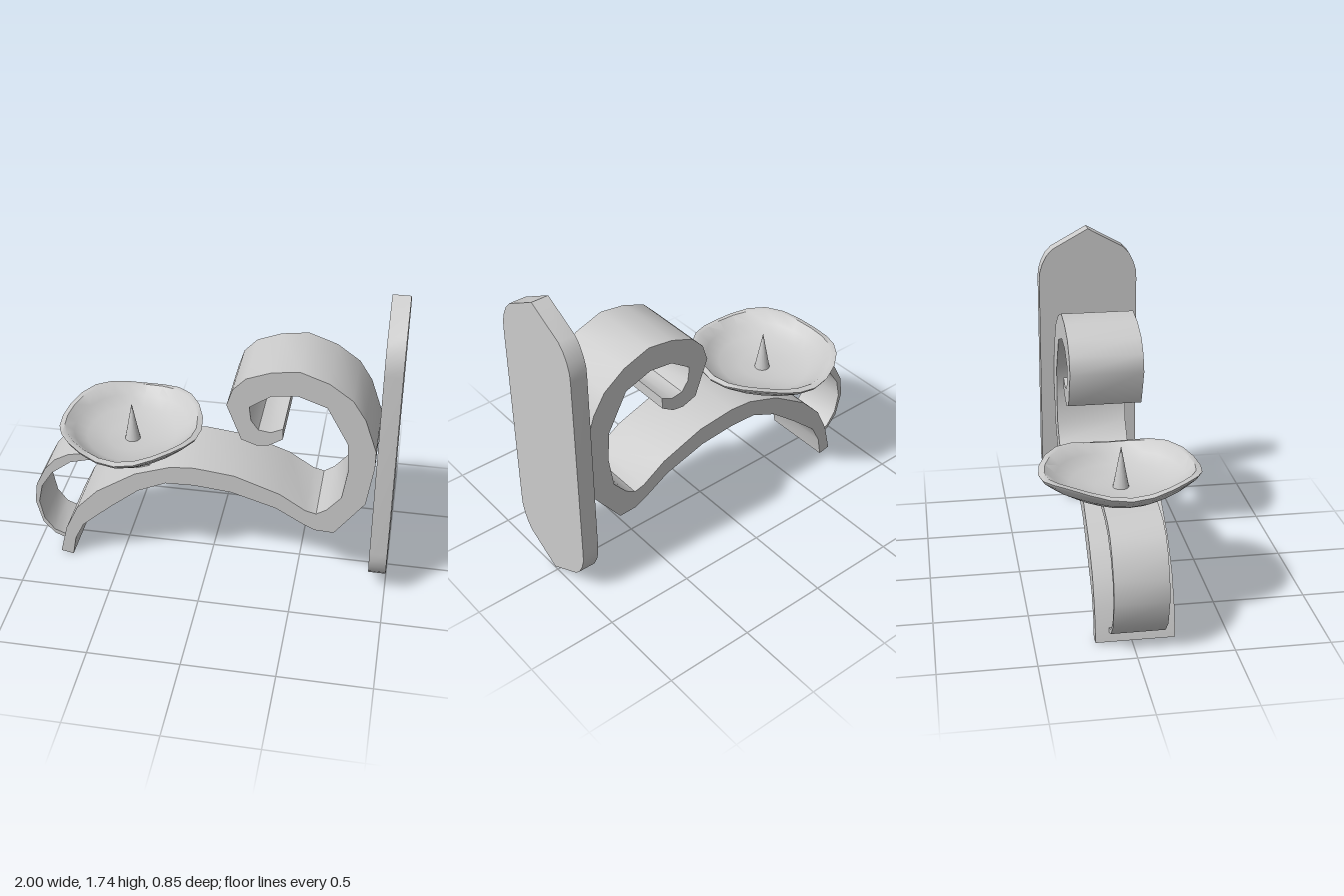
import * as THREE from 'three';
import { toCreasedNormals } from 'three/addons/utils/BufferGeometryUtils.js';

const material = new THREE.MeshStandardMaterial({ color: 0xcccccc });

function part(name, geometry, crease = 0.75) {
  const mesh = new THREE.Mesh(toCreasedNormals(geometry, crease), material);
  mesh.name = name;
  return mesh;
}

// Extrude an outline given as [x, y] pairs from depth z0 to z1
function slab(points, z0, z1) {
  const shape = new THREE.Shape(points.map(([x, y]) => new THREE.Vector2(x, y)));
  const geometry = new THREE.ExtrudeGeometry(shape, { depth: z1 - z0, bevelEnabled: false });
  return geometry.translate(0, 0, z0);
}

export function createModel() {
  const group = new THREE.Group();
  group.name = 'wallCandleHolder';

  // Wall plate: pointed ends with rounded shoulders, mirrored both ways
  const midY = 0.875, midZ = 0.022;
  const quarter = [[0, 0.865], [0.21, 0.75], [0.245, 0.713], [0.272, 0.66], [0.287, 0.61], [0.29, 0.56]];
  const half = [...quarter, ...quarter.slice().reverse().map(([z, y]) => [z, -y])];
  const outline = [...half, ...half.slice(1, -1).reverse().map(([z, y]) => [-z, y])];
  const plate = slab(outline.map(([z, y]) => [z + midZ, y + midY]), 0, 0.095);
  plate.rotateY(-Math.PI / 2).translate(1, 0, 0);
  group.add(part('wallPlate', plate));

  // Main arm: broad band that arches out and curls into a scroll
  const armUpper = [
    [-0.85, 0.02], [-0.81, 0.19], [-0.74, 0.34], [-0.62, 0.47], [-0.4, 0.615], [-0.2, 0.685],
    [-0.07, 0.695], [0.15, 0.67], [0.4, 0.58], [0.54, 0.49], [0.6, 0.475], [0.655, 0.51],
    [0.73, 0.6], [0.757, 0.78], [0.745, 0.95], [0.63, 1.16], [0.475, 1.215], [0.34, 1.2],
    [0.225, 1.12], [0.235, 1.04], [0.275, 0.985], [0.34, 0.975], [0.405, 1.005],
  ];
  const armLower = [
    [0.405, 0.94], [0.335, 0.895], [0.27, 0.885], [0.185, 0.915], [0.105, 1.12], [0.135, 1.215],
    [0.205, 1.29], [0.335, 1.34], [0.48, 1.36], [0.635, 1.305], [0.76, 1.215], [0.83, 1.105],
    [0.895, 0.915], [0.895, 0.815], [0.86, 0.575], [0.7, 0.36], [0.595, 0.365], [0.525, 0.4],
    [0.38, 0.485], [0.135, 0.56], [-0.07, 0.58], [-0.23, 0.575], [-0.385, 0.505], [-0.55, 0.37],
    [-0.71, 0.225], [-0.76, 0.12], [-0.78, 0.005],
  ];
  group.add(part('scrollArm', slab([...armUpper, ...armLower], -0.19, 0.22)));

  // Thin strap that loops from the arm's tip up under the dish
  const strap = [
    [-0.83, 0.065], [-0.9, 0.095], [-0.965, 0.17], [-1, 0.31], [-0.985, 0.43], [-0.93, 0.54],
    [-0.87, 0.61], [-0.79, 0.655], [-0.66, 0.682], [-0.55, 0.682], [-0.43, 0.67], [-0.32, 0.637],
    [-0.4, 0.612], [-0.44, 0.632], [-0.56, 0.645], [-0.67, 0.635], [-0.78, 0.605], [-0.89, 0.52],
    [-0.955, 0.42], [-0.978, 0.31], [-0.955, 0.195], [-0.9, 0.12], [-0.825, 0.09],
  ];
  group.add(part('strap', slab(strap, -0.12, 0.16)));

  // Drip dish: shallow bowl whose rim waves up and down four times
  const profile = [
    [0, 0.684], [0.2, 0.684], [0.27, 0.708], [0.34, 0.75], [0.39, 0.795], [0.4, 0.814],
    [0.37, 0.818], [0.32, 0.77], [0.25, 0.728], [0.13, 0.706], [0, 0.7],
  ].map(([r, y]) => new THREE.Vector2(r, y));
  const dish = new THREE.LatheGeometry(profile, 24);
  const pos = dish.attributes.position;
  for (let i = 0; i < pos.count; i++) {
    const x = pos.getX(i), z = pos.getZ(i);
    const r = Math.hypot(x, z) / 0.4;
    pos.setY(i, pos.getY(i) - 0.018 * r ** 4 * Math.cos(4 * Math.atan2(z, x)));
  }
  dish.scale(0.985, 1, 1.06).translate(-0.4625, 0, -0.005);
  group.add(part('dripDish', dish, 0.9));

  // Small seat joining dish and strap
  const seat = new THREE.CylinderGeometry(0.06, 0.06, 0.03, 16);
  group.add(part('dishSeat', seat.translate(-0.4575, 0.676, 0)));

  // Candle spike
  const spike = new THREE.ConeGeometry(0.044, 0.235, 16);
  group.add(part('candleSpike', spike.translate(-0.4575, 0.81, 0)));

  return group;
}
